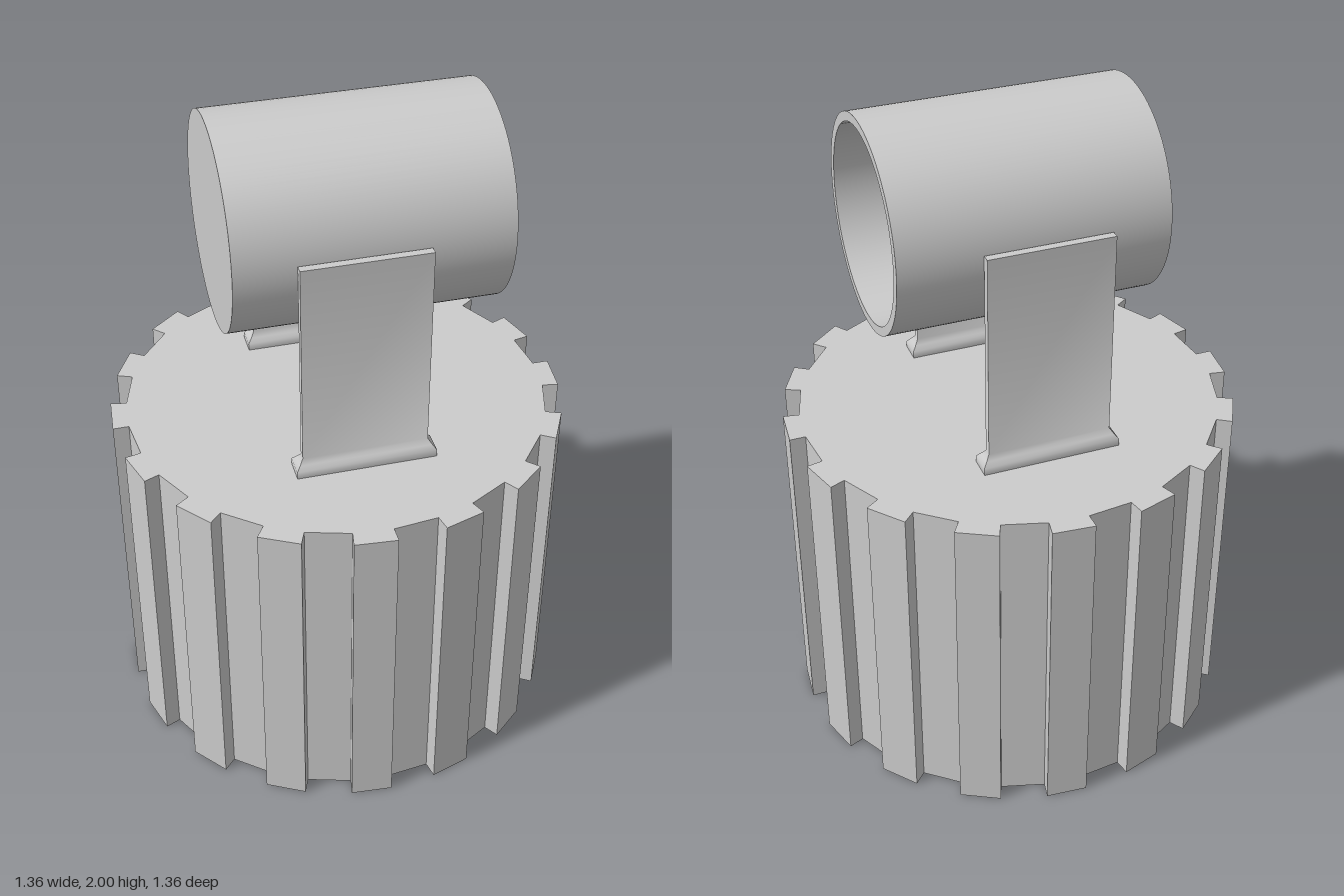
import * as THREE from 'three';
import { toCreasedNormals } from 'three/addons/utils/BufferGeometryUtils.js';

const material = new THREE.MeshStandardMaterial({ color: 0xcccccc });

function addMesh(parent, name, geometry, mat = material) {
  const mesh = new THREE.Mesh(geometry, mat);
  mesh.name = name;
  parent.add(mesh);
  return mesh;
}

// Ribbed drum: 16 flat teeth with radial sides, extruded upwards
function drumGeometry() {
  const teeth = 16, outer = 0.68, inner = 0.632, step = (Math.PI * 2) / teeth;
  const width = THREE.MathUtils.degToRad(10.5);
  const points = [];
  for (let i = 0; i < teeth; i++) {
    const end = i * step, start = end - width;
    for (const [r, a] of [[inner, start], [outer, start], [outer, end], [inner, end]]) {
      points.push(new THREE.Vector2(r * Math.cos(a), r * Math.sin(a)));
    }
  }
  return new THREE.ExtrudeGeometry(new THREE.Shape(points), { depth: 1.03, bevelEnabled: false })
    .rotateX(-Math.PI / 2);
}

// Hollow barrel along x: open at +x, closed at -x
function barrelGeometry() {
  const profile = [[0, -0.36], [0.31, -0.36], [0.31, 0.425], [0.283, 0.425], [0.283, -0.333], [0, -0.333]]
    .map(([r, h]) => new THREE.Vector2(r, h));
  const lathe = new THREE.LatheGeometry(profile, 96).rotateZ(-Math.PI / 2);
  return toCreasedNormals(lathe, 0.5);
}

// Thin upright plate flaring into a foot: [height, half width, half depth] per row
function bracketGeometry() {
  const rows = [
    [1.02, 0.205, 0.034], [1.035, 0.207, 0.036], [1.052, 0.207, 0.035],
    [1.066, 0.196, 0.024], [1.082, 0.185, 0.012], [1.71, 0.185, 0.012],
  ];
  const last = rows.length - 1;
  const geometry = new THREE.BoxGeometry(2, 1, 2, 1, last, 1);
  const pos = geometry.attributes.position;
  for (let i = 0; i < pos.count; i++) {
    const [y, w, d] = rows[Math.round((pos.getY(i) + 0.5) * last)];
    pos.setXYZ(i, pos.getX(i) * w, y, pos.getZ(i) * d);
  }
  return toCreasedNormals(geometry, 0.75);
}

export function createModel() {
  const model = new THREE.Group();
  model.name = 'barrelOnRibbedDrum';

  const drumMaterial = material.clone();
  drumMaterial.flatShading = true;
  addMesh(model, 'ribbedDrum', drumGeometry(), drumMaterial);

  addMesh(model, 'barrel', barrelGeometry()).position.y = 1.69;

  // Front and back brackets holding the barrel
  const bracket = bracketGeometry();
  addMesh(model, 'frontBracket', bracket).position.z = 0.325;
  addMesh(model, 'backBracket', bracket).position.z = -0.325;

  return model;
}
